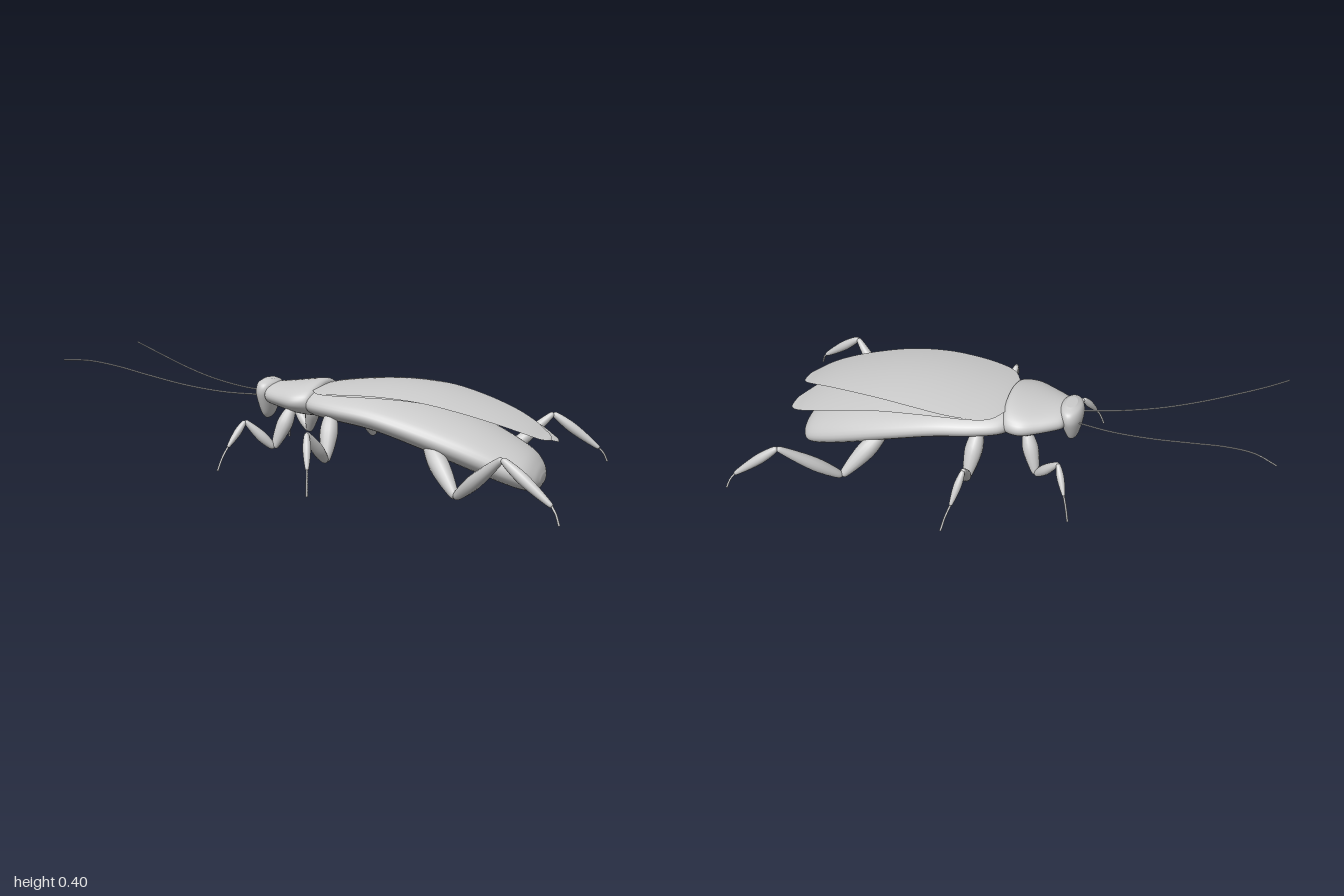
import * as THREE from 'three';

const material = new THREE.MeshStandardMaterial({ color: 0xcccccc, roughness: 0.6 });
const sheetMaterial = new THREE.MeshStandardMaterial({ color: 0xcccccc, roughness: 0.6, side: THREE.DoubleSide });
const V = (p) => new THREE.Vector3(...p);

function named(geometry, name, mat = material) {
  const mesh = new THREE.Mesh(geometry, mat);
  mesh.name = name;
  return mesh;
}

function gridGeometry(positions, rows, cols, wrap) {
  const index = [];
  const step = wrap ? cols : cols - 1;
  for (let i = 0; i < rows - 1; i++) {
    for (let j = 0; j < step; j++) {
      const k = (j + 1) % cols;
      const a = i * cols + j, b = i * cols + k, c = a + cols, d = b + cols;
      index.push(a, b, c, b, d, c);
    }
  }
  const g = new THREE.BufferGeometry();
  g.setAttribute('position', new THREE.Float32BufferAttribute(positions, 3));
  g.setIndex(index);
  g.computeVertexNormals();
  return g;
}

// Smooth closed body along x; each station is [x, top, bottom, halfWidth]
function loft(stations, rows = 48, cols = 40) {
  const upper = new THREE.CatmullRomCurve3(stations.map(([x, t, , w]) => V([x, t, w])), false, 'catmullrom');
  const lower = new THREE.CatmullRomCurve3(stations.map(([x, , b, w]) => V([x, b, w])), false, 'catmullrom');
  const positions = [];
  for (let i = -1; i <= rows + 1; i++) {
    const t = THREE.MathUtils.clamp(i / rows, 0, 1);
    const a = upper.getPoint(t), b = lower.getPoint(t);
    const size = i < 0 || i > rows ? 0 : 1; // closes both ends
    for (let j = 0; j < cols; j++) {
      const f = (j / cols) * Math.PI * 2;
      positions.push(a.x, (a.y + b.y) / 2 + size * (a.y - b.y) / 2 * Math.cos(f), size * a.z * Math.sin(f));
    }
  }
  return gridGeometry(positions, rows + 3, cols, true);
}

// Spindle-shaped limb segment between two points
function segment(from, to, radius, name) {
  const a = V(from), b = V(to), length = a.distanceTo(b);
  const shape = [[0, 0], [0.45, 0.01], [0.75, 0.12], [1, 0.38], [0.85, 0.65], [0.55, 0.9], [0.35, 0.99], [0, 1]];
  const profile = new THREE.SplineCurve(shape.map(([r, y]) => new THREE.Vector2(r * radius, y * length)));
  const points = profile.getPoints(20).map((p) => new THREE.Vector2(Math.max(p.x, 0), p.y));
  const mesh = named(new THREE.LatheGeometry(points, 14), name);
  mesh.position.copy(a);
  mesh.quaternion.setFromUnitVectors(new THREE.Vector3(0, 1, 0), b.sub(a).normalize());
  return mesh;
}

function tube(points, radius, name) {
  const curve = new THREE.CatmullRomCurve3(points.map(V));
  return named(new THREE.TubeGeometry(curve, 32, radius, 6), name);
}

// Domed thin wing; side = 1 or -1, drop lowers it towards the tip
function wing(side, drop, name) {
  // [x, inner z, outer z, crest height]
  const stations = [
    [-0.01, -0.08, 0.1, 0.325], [0.03, -0.165, 0.165, 0.334], [0.1, -0.195, 0.195, 0.344],
    [0.2, -0.207, 0.21, 0.354], [0.32, -0.197, 0.217, 0.357], [0.46, -0.168, 0.212, 0.345],
    [0.6, -0.122, 0.198, 0.314], [0.72, -0.072, 0.178, 0.278], [0.8, -0.03, 0.153, 0.246],
    [0.85, 0.008, 0.122, 0.22], [0.872, 0.035, 0.097, 0.21], [0.88, 0.066, 0.068, 0.203],
  ];
  const edges = new THREE.CatmullRomCurve3(stations.map(([x, i, o]) => V([x, i, o])), false, 'catmullrom');
  const crest = new THREE.CatmullRomCurve3(stations.map(([x, , , y]) => V([x, y, 0])), false, 'catmullrom');
  const rows = 56, cols = 21, positions = [];
  for (let i = 0; i < rows; i++) {
    const e = edges.getPoint(i / (rows - 1)), y = crest.getPoint(i / (rows - 1)).y;
    for (let j = 0; j < cols; j++) {
      const u = j / (cols - 1);
      const z = side > 0 ? THREE.MathUtils.lerp(e.y, e.z, u) : -THREE.MathUtils.lerp(e.z, e.y, u);
      positions.push(e.x, y - 0.5 * z * z - drop * Math.max(e.x, 0), z);
    }
  }
  return named(gridGeometry(positions, rows, cols, false), name, sheetMaterial);
}

// Joints: body, lower joint, knee, ankle, then the foot tip
const legs = {
  front: { joints: [[-0.09, 0.25, 0.11], [-0.14, 0.1, 0.165], [-0.235, 0.205, 0.215], [-0.275, 0.115, 0.28], [-0.3, 0.03, 0.318]], radii: [0.03, 0.02, 0.014] },
  middle: { joints: [[0.085, 0.25, 0.15], [0.105, 0.09, 0.245], [0.08, 0.215, 0.36], [0.11, 0.1, 0.425], [0.133, 0.02, 0.48]], radii: [0.034, 0.022, 0.015] },
  rear: { joints: [[0.46, 0.175, 0.16], [0.6, 0.018, 0.275], [0.79, 0.2, 0.4], [0.965, 0.07, 0.435], [0.995, 0.015, 0.458]], radii: [0.036, 0.026, 0.02] },
};

function leg(name, { joints, radii }, side) {
  const group = new THREE.Group();
  group.name = name;
  const p = joints.map(([x, y, z]) => [x, y, z * side]);
  ['coxa', 'femur', 'tibia'].forEach((part, i) => group.add(segment(p[i], p[i + 1], radii[i], part)));
  const mid = [0, 1, 2].map((k) => (p[3][k] + p[4][k]) / 2 + (k === 1 ? 0.008 : 0));
  group.add(tube([p[3], mid, p[4]], 0.004, 'foot'));
  return group;
}

export function createModel() {
  const model = new THREE.Group();
  model.name = 'insect';

  // Drooping abdomen
  model.add(named(loft([
    [-0.04, 0.31, 0.23, 0.11], [0, 0.325, 0.213, 0.165], [0.1, 0.328, 0.2, 0.2], [0.25, 0.32, 0.178, 0.218],
    [0.42, 0.286, 0.128, 0.22], [0.58, 0.238, 0.072, 0.207], [0.7, 0.188, 0.03, 0.183], [0.79, 0.138, 0.004, 0.148],
    [0.83, 0.095, 0.007, 0.1], [0.845, 0.06, 0.027, 0.045],
  ], 64), 'abdomen'));

  // Thorax shield
  model.add(named(loft([
    [-0.222, 0.31, 0.25, 0.075], [-0.205, 0.322, 0.238, 0.095], [-0.14, 0.33, 0.226, 0.135],
    [-0.075, 0.339, 0.215, 0.165], [-0.02, 0.346, 0.21, 0.155], [0.002, 0.34, 0.214, 0.125], [0.01, 0.32, 0.23, 0.08],
  ]), 'thoraxShield'));

  // Upright head, lofted along its height
  const head = loft([
    [0.18, 0.247, 0.233, 0.02], [0.2, 0.262, 0.217, 0.043], [0.25, 0.275, 0.2, 0.068],
    [0.29, 0.28, 0.19, 0.08], [0.32, 0.273, 0.194, 0.07], [0.335, 0.253, 0.212, 0.035],
  ]);
  model.add(named(head.rotateZ(Math.PI / 2), 'head'));

  // Overlapping wings
  model.add(wing(1, 0, 'leftWing'), wing(-1, 0.04, 'rightWing'));

  // Mirrored legs and feelers
  for (const [side, label] of [[1, 'Left'], [-1, 'Right']]) {
    for (const [name, data] of Object.entries(legs)) model.add(leg(`${name}Leg${label}`, data, side));
    const path = [[-0.265, 0.273, 0.04], [-0.4, 0.279, 0.07], [-0.55, 0.3, 0.1], [-0.7, 0.335, 0.134],
      [-0.82, 0.368, 0.168], [-0.92, 0.39, 0.21], [-0.998, 0.397, 0.268]];
    model.add(tube(path.map(([x, y, z]) => [x, y, z * side]), 0.0028, `antenna${label}`));
  }
  return model;
}
